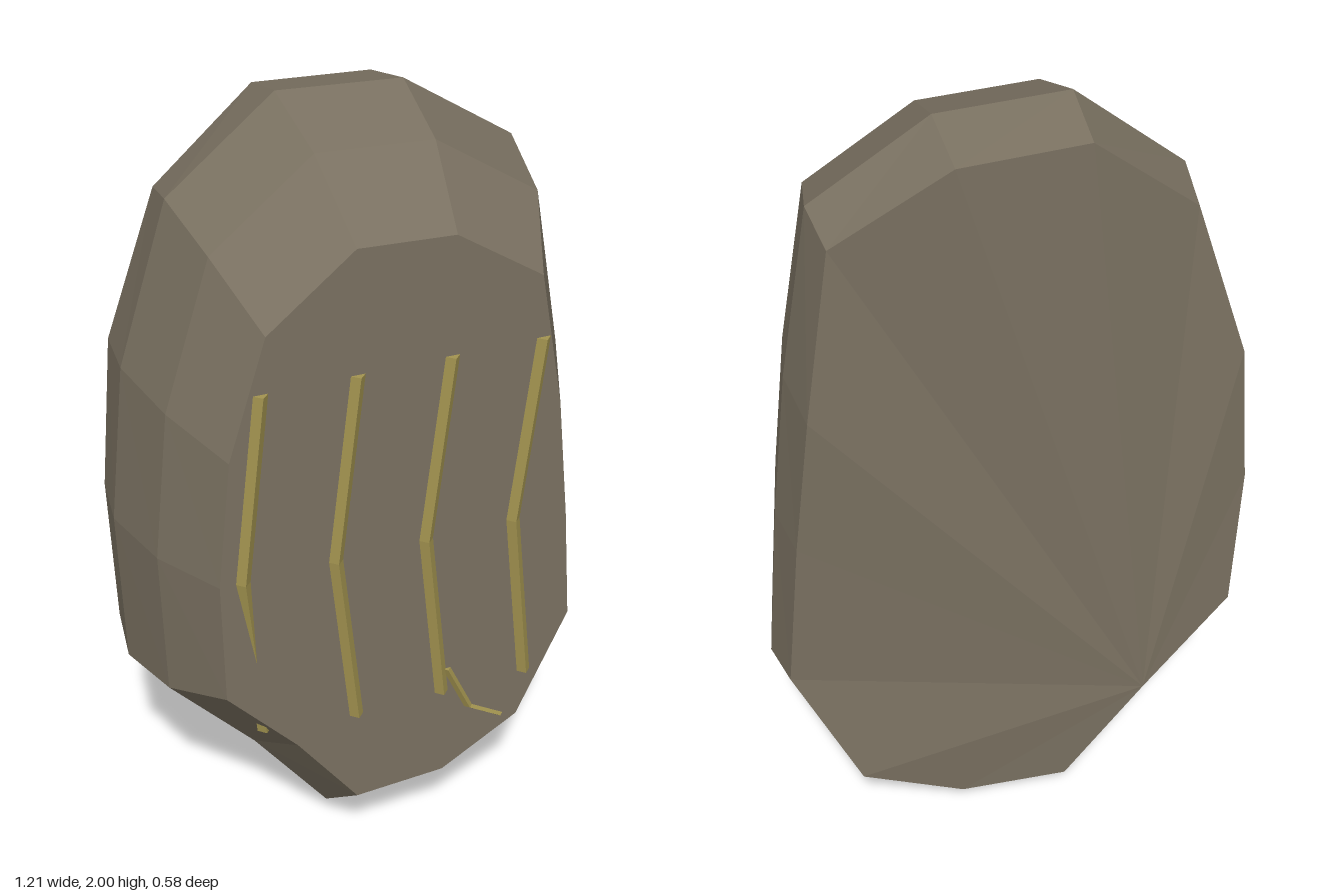
import * as THREE from 'three';

// Skin a list of closed rings with flat facets and fan caps at both ends
function loft(rings) {
  const pos = [];
  const tri = (...pts) => pts.forEach((p) => pos.push(p.x, p.y, p.z));
  const n = rings[0].length;
  for (let r = 0; r < rings.length - 1; r++) {
    for (let i = 0; i < n; i++) {
      const j = (i + 1) % n;
      const [a, b, c, d] = [rings[r][i], rings[r][j], rings[r + 1][j], rings[r + 1][i]];
      tri(a, b, c);
      tri(a, c, d);
    }
  }
  const first = rings[0], last = rings[rings.length - 1];
  for (let i = 1; i < n - 1; i++) {
    tri(first[0], first[i + 1], first[i]);
    tri(last[0], last[i], last[i + 1]);
  }
  const geo = new THREE.BufferGeometry();
  geo.setAttribute('position', new THREE.Float32BufferAttribute(pos, 3));
  geo.computeVertexNormals();
  return geo;
}

// Thin ridged bar with a diamond section, running down through the points
function ridge(points, r) {
  return loft(points.map(([x, y, z]) =>
    [[0, -r], [r, 0], [0, r], [-r, 0]].map(([dx, dz]) => new THREE.Vector3(x + dx, y, z + dz))));
}

export function createModel() {
  const model = new THREE.Group();
  const stone = new THREE.MeshStandardMaterial({ color: 0x7a7161, flatShading: true });
  stone.name = 'stone';
  const gold = new THREE.MeshStandardMaterial({ color: 0xa39450, flatShading: true });
  gold.name = 'dull gold';
  const add = (name, geo, mat) => {
    const mesh = new THREE.Mesh(geo, mat);
    mesh.name = name;
    model.add(mesh);
  };

  // Slab outlines, starting at the notch and going clockwise
  const face = [[-0.28, 0.44], [-0.46, 0.64], [-0.465, 0.97], [-0.43, 1.3], [-0.335, 1.6],
    [-0.12, 1.77], [0.12, 1.76], [0.34, 1.62], [0.405, 1.27], [0.44, 0.95],
    [0.465, 0.64], [0.33, 0.35], [0.12, 0.23], [-0.12, 0.22]];
  const girth = [[-0.36, 0.29], [-0.595, 0.55], [-0.605, 0.97], [-0.56, 1.38], [-0.43, 1.785],
    [-0.16, 2], [0.155, 1.985], [0.44, 1.805], [0.515, 1.37], [0.56, 0.98],
    [0.6, 0.54], [0.43, 0.165], [0.15, 0.015], [-0.145, 0]];
  const backZ = [-0.28, -0.265, -0.27, -0.29, -0.255, -0.28, -0.285, -0.25, -0.285, -0.265,
    -0.25, -0.285, -0.27, -0.27];
  const v = (x, y, z) => new THREE.Vector3(x, y, z);
  const front = face.map(([x, y]) => v(x, y, 0.27));
  const wide = girth.map(([x, y]) => v(x, y, -0.11));
  const middle = front.map((p, i) => p.clone().lerp(wide[i], 0.68).setZ(0.095));
  const back = wide.map((p, i) => v(p.x * 0.96, 1 + (p.y - 1) * 0.96, backZ[i]));
  add('stoneSlab', loft([front, middle, wide, back]), stone);

  // Four bent stripes; the outermost sinks into the bevel at its lower end
  [-0.35, -0.117, 0.117, 0.35].forEach((x, i) => {
    add('stripe' + (i + 1), ridge([
      [x, 1.46, 0.27],
      [x - 0.057, 0.97, 0.27],
      [x - 0.005, 0.49, i === 0 ? 0.235 : 0.27],
    ], 0.018), gold);
  });

  // Thin branching vein
  add('vein', ridge([[0.125, 0.56, 0.27], [0.19, 0.42, 0.27], [0.28, 0.365, 0.27]], 0.011), gold);
  return model;
}
